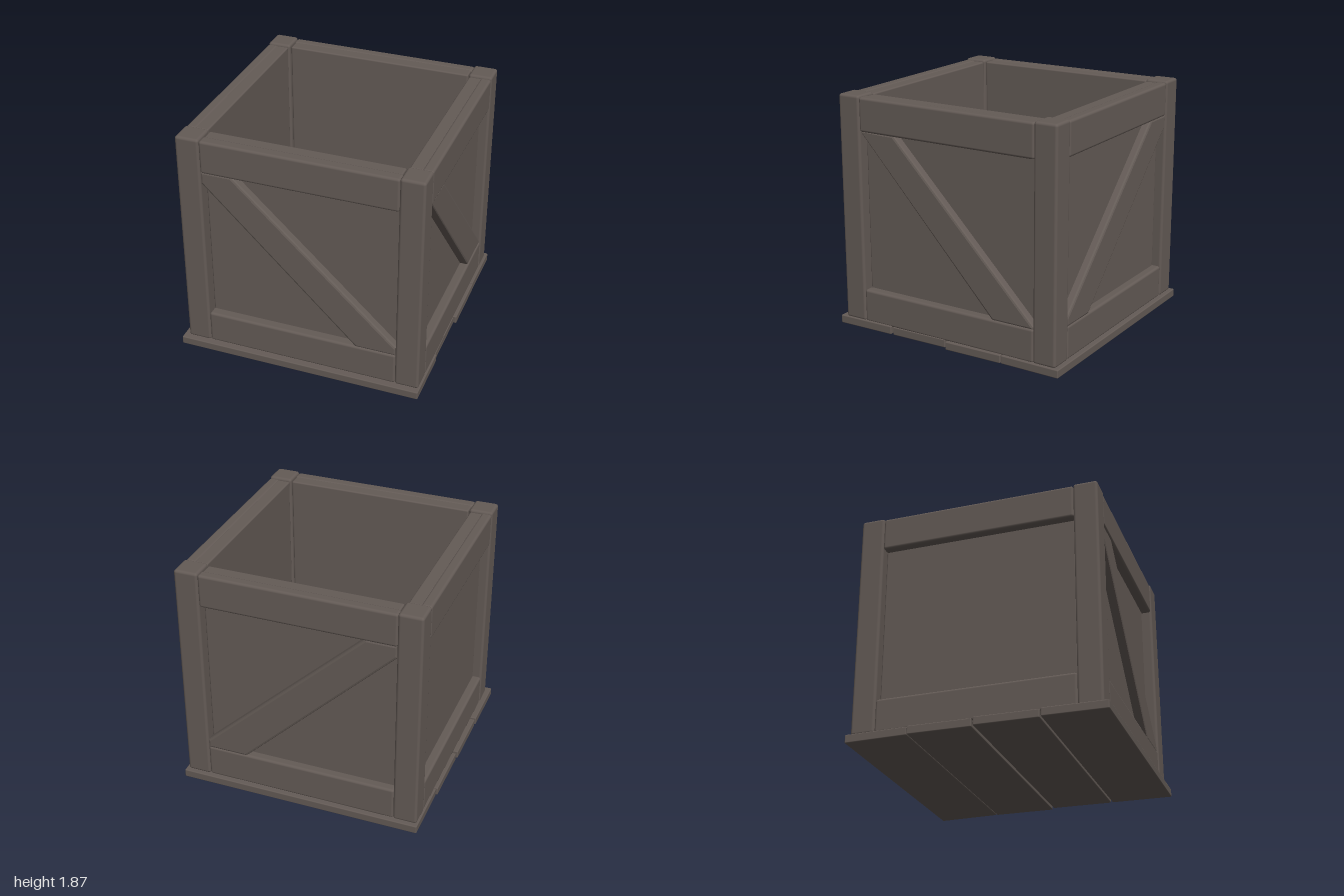
import * as THREE from 'three';
import { RoundedBoxGeometry } from 'three/addons/geometries/RoundedBoxGeometry.js';

export function createModel() {
  const model = new THREE.Group();
  model.name = 'openCrate';
  const wood = new THREE.MeshStandardMaterial({ color: 0x645b56 });
  wood.name = 'dark wood';

  // Softly rounded plank given by its extents on each axis
  function plank(name, [x0, x1], [y0, y1], [z0, z1], radius = 0.012) {
    const geo = new RoundedBoxGeometry(x1 - x0, y1 - y0, z1 - z0, 2, radius);
    const mesh = new THREE.Mesh(geo, wood);
    mesh.name = name;
    mesh.position.set((x0 + x1) / 2, (y0 + y1) / 2, (z0 + z1) / 2);
    model.add(mesh);
    return mesh;
  }

  // Floor boards, slightly uneven in length and tilt
  const boards = [
    { x: [-0.963, 0.979], z: [-1, -0.513], tilt: -0.008 },
    { x: [-0.974, 0.981], z: [-0.508, -0.016], tilt: 0.008 },
    { x: [-0.984, 0.96], z: [0, 0.492], tilt: 0.01 },
    { x: [-0.99, 0.972], z: [0.503, 0.995], tilt: 0.01 },
  ];
  boards.forEach((b) => {
    plank('floorBoard', b.x, [0.004, 0.07], b.z, 0.008).rotation.x = b.tilt;
  });

  // Corner posts
  for (const x of [[-0.95, -0.76], [0.77, 0.96]])
    for (const z of [[-0.965, -0.775], [0.757, 0.947]])
      plank('cornerPost', x, [0.06, 1.867], z, 0.022);

  // Wall panels
  const wallY = [0.06, 1.852];
  plank('frontPanel', [-0.752, 0.762], wallY, [0.76, 0.865]);
  plank('backPanel', [-0.752, 0.762], wallY, [-0.892, -0.787]);
  plank('leftPanel', [0.778, 0.884], wallY, [-0.772, 0.75]);
  plank('rightPanel', [-0.878, -0.772], wallY, [-0.772, 0.75]);

  // Top and bottom rails on every wall
  for (const y of [[0.06, 0.325], [1.59, 1.857]]) {
    plank('frontRail', [-0.762, 0.772], y, [0.85, 0.942], 0.02);
    plank('backRail', [-0.762, 0.772], y, [-0.96, -0.877], 0.02);
    plank('leftRail', [0.87, 0.957], y, [-0.777, 0.759], 0.02);
    plank('rightRail', [-0.947, -0.863], y, [-0.777, 0.759], 0.02);
  }

  // Diagonal braces, cut to fit between posts and rails
  function brace(name, outline, position, turn) {
    const bevel = 0.018;
    const shape = new THREE.Shape(outline.map(([u, v]) => new THREE.Vector2(u, v)));
    const geo = new THREE.ExtrudeGeometry(shape, {
      depth: 0.05, bevelEnabled: true, bevelThickness: bevel, bevelSize: bevel,
      bevelOffset: -bevel, bevelSegments: 2,
    });
    const mesh = new THREE.Mesh(geo, wood);
    mesh.name = name;
    mesh.position.set(...position);
    mesh.rotation.y = turn;
    model.add(mesh);
  }
  const main = [[-0.765, 1.5], [0.45, 0.315], [0.775, 0.315], [0.775, 0.385], [-0.52, 1.6], [-0.765, 1.6]];
  const side = [[-0.765, 1.6], [0.42, 0.315], [0.775, 0.315], [0.775, 0.34], [-0.45, 1.6]];
  brace('frontBrace', main, [0, 0, 0.866], 0);
  brace('backBrace', main.map(([u, v]) => [-u, v]), [0, 0, -0.888], Math.PI);
  brace('leftBrace', side, [0.882, 0, 0], Math.PI / 2);

  return model;
}
